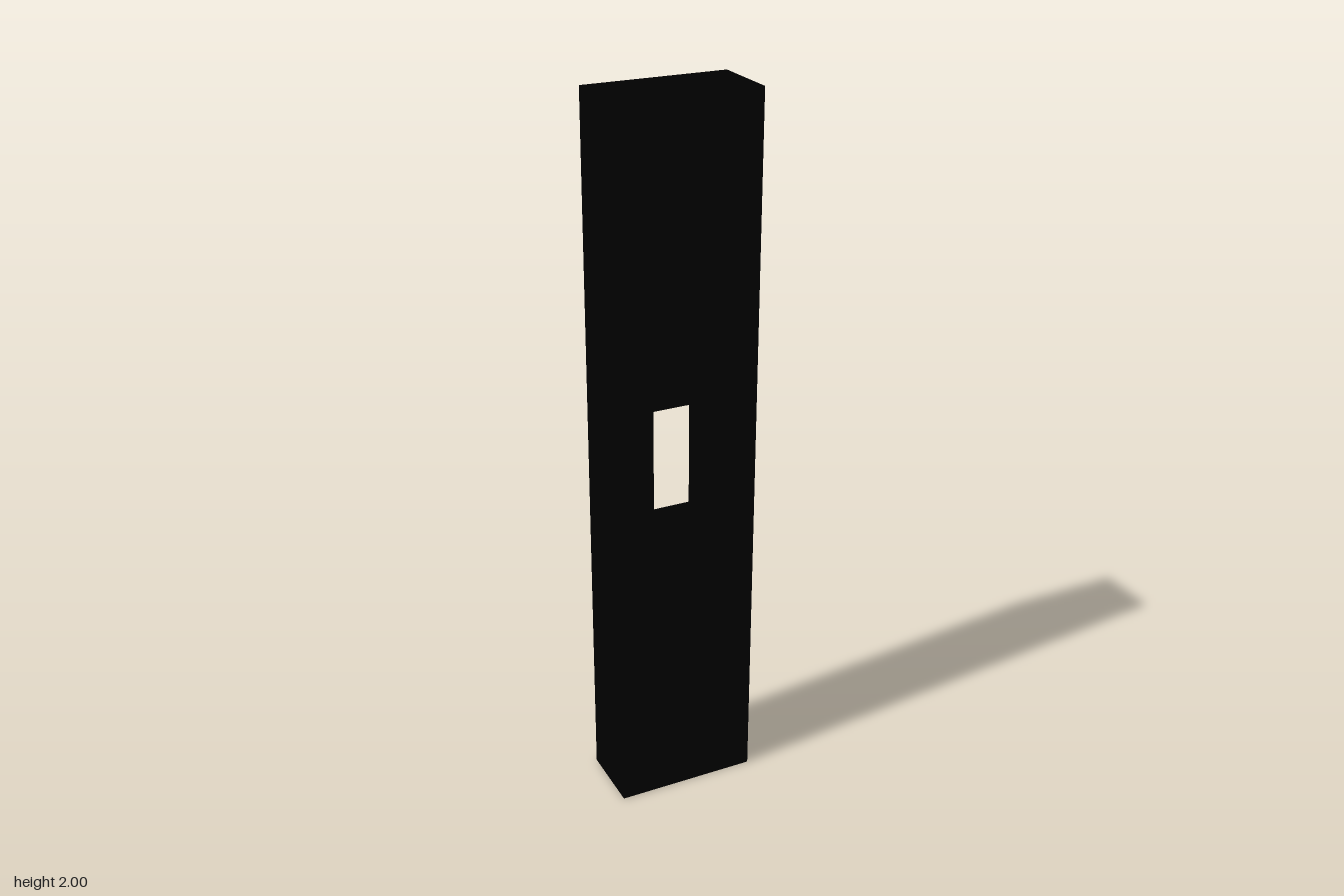
import * as THREE from 'three';

const WIDTH = 0.4, HEIGHT = 2, DEPTH = 0.2;
const HOLE_WIDTH = 0.2, HOLE_HEIGHT = 0.4;

// Traces a rectangle centred on (0, cy)
function traceRect(path, w, h, cy) {
  path.moveTo(-w / 2, cy - h / 2);
  path.lineTo(w / 2, cy - h / 2);
  path.lineTo(w / 2, cy + h / 2);
  path.lineTo(-w / 2, cy + h / 2);
  path.closePath();
  return path;
}

export function createModel() {
  const group = new THREE.Group();
  group.name = 'slottedPost';

  // Upright slab with a rectangular window cut right through its middle
  const outline = traceRect(new THREE.Shape(), WIDTH, HEIGHT, HEIGHT / 2);
  outline.holes.push(traceRect(new THREE.Path(), HOLE_WIDTH, HOLE_HEIGHT, HEIGHT / 2));
  const geometry = new THREE.ExtrudeGeometry(outline, { depth: DEPTH, bevelEnabled: false });
  geometry.translate(0, 0, -DEPTH / 2);

  const post = new THREE.Mesh(geometry, new THREE.MeshStandardMaterial({ color: 0x000000 }));
  post.name = 'post';
  group.add(post);
  return group;
}
